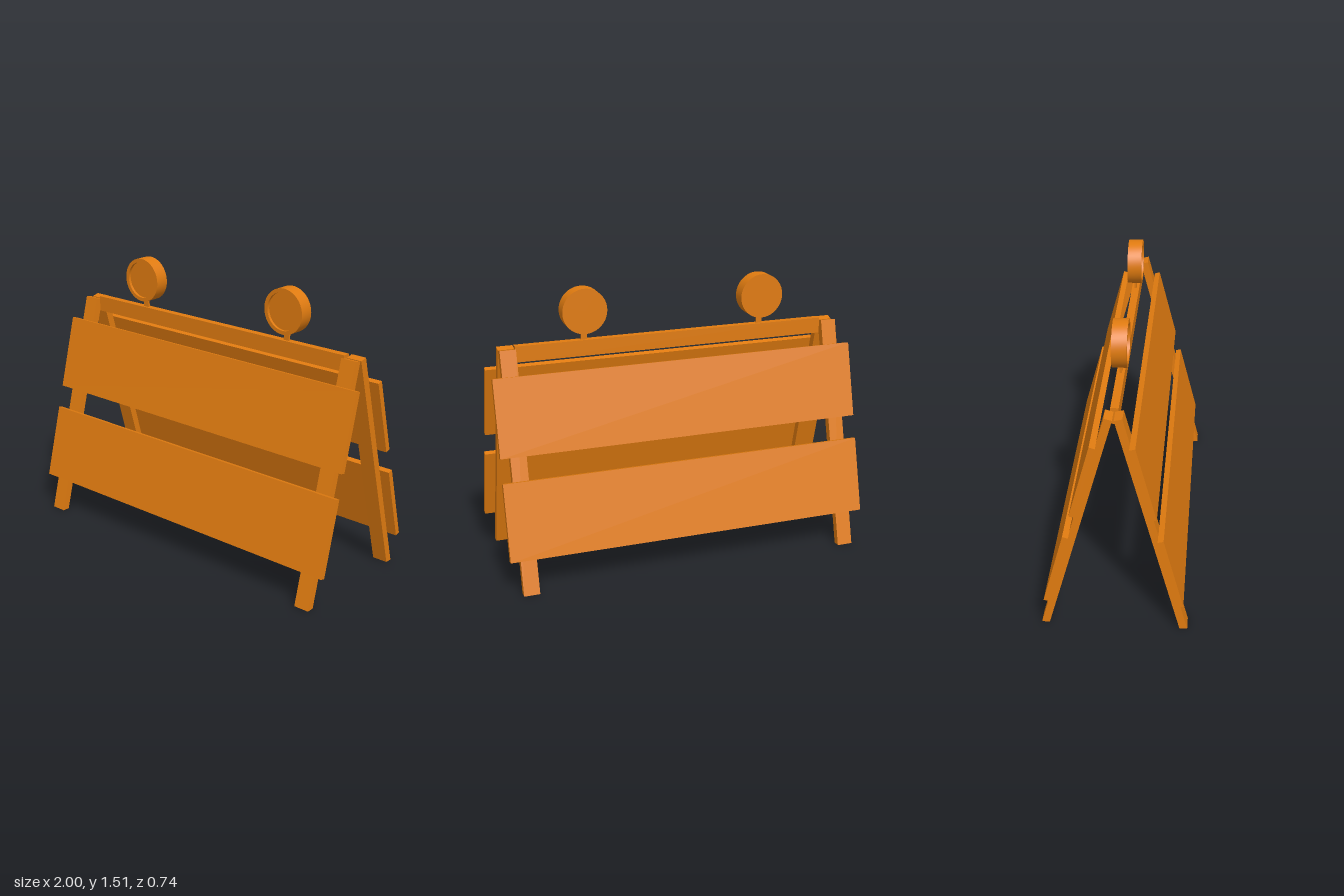
import * as THREE from 'three';
import { toCreasedNormals } from 'three/addons/utils/BufferGeometryUtils.js';

const orange = new THREE.MeshStandardMaterial({ color: 0xe07b10 });

function addMesh(parent, name, geometry, x = 0, y = 0, z = 0) {
  const mesh = new THREE.Mesh(geometry, orange);
  mesh.name = name;
  mesh.position.set(x, y, z);
  parent.add(mesh);
  return mesh;
}

// Extrudes a side profile of [z, y] points along x, centred on x = 0
function sideProfile(points, width) {
  const shape = new THREE.Shape(points.map(([z, y]) => new THREE.Vector2(z, y)));
  const geometry = new THREE.ExtrudeGeometry(shape, { depth: width, bevelEnabled: false });
  geometry.translate(0, 0, -width / 2);
  geometry.rotateY(-Math.PI / 2);
  return geometry;
}

// One leaning frame: two legs and two wide boards on their outer faces
function createFrame(name) {
  const frame = new THREE.Group();
  frame.name = name;
  // Legs are cut level at the ground and square at the top
  const leg = sideProfile([[0.332, 0], [0.372, 0], [0.044, 1.227], [0.004, 1.217]], 0.085);
  addMesh(frame, 'leftLeg', leg, 0.901);
  addMesh(frame, 'rightLeg', leg, -0.901);

  const upper = sideProfile([[0.184, 0.7], [0.212, 0.708], [0.108, 1.103], [0.079, 1.095]], 2);
  const lower = sideProfile([[0.322, 0.181], [0.35, 0.189], [0.246, 0.584], [0.217, 0.576]], 2);
  addMesh(frame, 'upperBoard', upper);
  addMesh(frame, 'lowerBoard', lower);
  return frame;
}

// Round warning lamp with a lens recessed inside its front rim
function createLamp(name, x) {
  const lamp = new THREE.Group();
  lamp.name = name;
  const r = 0.12, h = 0.038, inner = 0.1, recess = 0.015;
  const profile = [[0, -h], [r, -h], [r, h], [inner, h], [inner, h - recess], [0, h - recess]]
    .map(([px, py]) => new THREE.Vector2(px, py));
  const housing = toCreasedNormals(new THREE.LatheGeometry(profile, 40), 0.6);
  housing.rotateX(Math.PI / 2);
  addMesh(lamp, 'lampHousing', housing, 0, 1.392);
  addMesh(lamp, 'lampPost', new THREE.BoxGeometry(0.032, 0.06, 0.012), 0, 1.255);
  lamp.position.x = x;
  return lamp;
}

export function createModel() {
  const barricade = new THREE.Group();
  barricade.name = 'barricade';

  const backFrame = createFrame('backFrame');
  backFrame.rotation.y = Math.PI;
  barricade.add(createFrame('frontFrame'), backFrame);

  // Ridge bar between the leg tops
  addMesh(barricade, 'crossbar', new THREE.BoxGeometry(1.717, 0.085, 0.04), 0, 1.193);

  barricade.add(createLamp('leftLamp', 0.49), createLamp('rightLamp', -0.5));
  return barricade;
}
